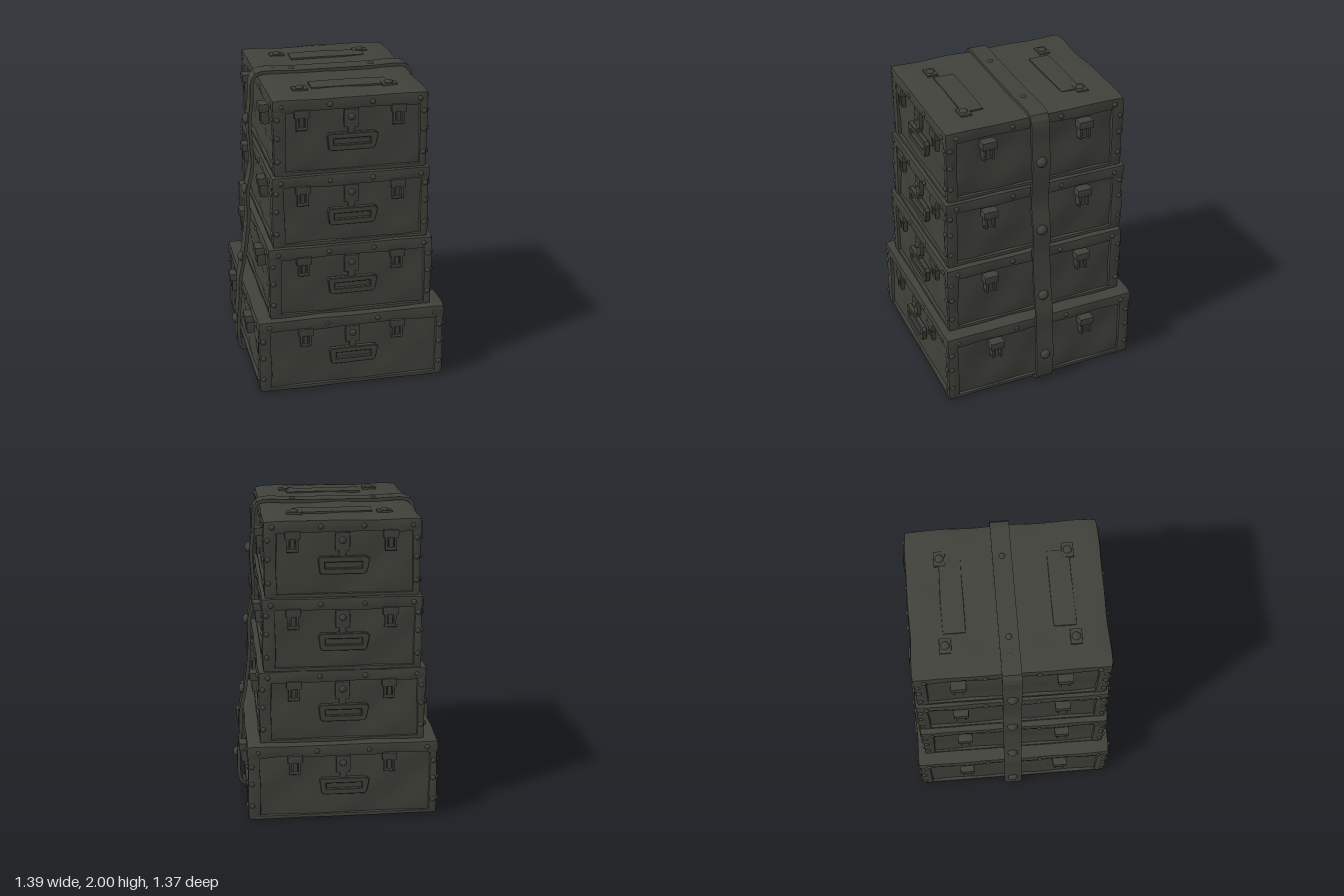
import * as THREE from 'three';

export function createModel() {
  const model = new THREE.Group();
  model.name = 'stackedCases';
  const paint = new THREE.MeshStandardMaterial({ color: 0x41413b });
  paint.name = 'dark olive grey';

  function add(parent, geometry, name, x = 0, y = 0, z = 0) {
    const mesh = new THREE.Mesh(geometry, paint);
    mesh.name = name;
    mesh.position.set(x, y, z);
    parent.add(mesh);
    return mesh;
  }

  // Box with softened edges and a slightly dented surface
  function wornBox(w, h, d, r = 0.015, dent = 0.004, seed = 0) {
    const seg = (s) => Math.max(2, Math.min(24, Math.round(s / 0.045)));
    const g = new THREE.BoxGeometry(w, h, d, seg(w), seg(h), seg(d));
    const p = g.attributes.position;
    const half = new THREE.Vector3(w / 2 - r, h / 2 - r, d / 2 - r);
    const v = new THREE.Vector3(), q = new THREE.Vector3();
    for (let i = 0; i < p.count; i++) {
      v.fromBufferAttribute(p, i);
      q.copy(v).clamp(half.clone().negate(), half);
      const n = v.clone().sub(q).normalize();
      const wave = Math.sin(v.x * 17 + seed) * Math.sin(v.y * 19 + seed * 2 + 1) + Math.sin(v.z * 15 + seed * 3 + v.x * 9 + v.y * 11);
      v.copy(q).addScaledVector(n, r + dent * 0.5 * wave);
      p.setXYZ(i, v.x, v.y, v.z);
    }
    g.computeVertexNormals();
    return g;
  }

  // Domed rivet facing +z
  const dome = (r, height) => {
    const g = new THREE.SphereGeometry(r, 12, 5, 0, Math.PI * 2, 0, Math.PI / 2);
    g.rotateX(Math.PI / 2);
    g.scale(1, 1, height / r);
    return g;
  };
  const rivet = dome(0.017, 0.014);

  // Buckle latch: plate, two side lugs, lever and hinge pin
  function latch(parent, x, y, depth, name) {
    const g = new THREE.Group();
    g.name = name;
    g.position.set(x, y, 0);
    parent.add(g);
    add(g, wornBox(0.1, 0.055, depth, 0.008, 0), 'latchPlate', 0, 0.035, depth / 2);
    for (const s of [-1, 1]) add(g, wornBox(0.018, 0.1, depth * 0.8, 0.005, 0), 'latchLug', s * 0.028, -0.02, depth * 0.4);
    add(g, wornBox(0.03, 0.085, depth * 0.65, 0.005, 0), 'latchLever', 0, -0.012, depth * 0.33);
    const pin = add(g, new THREE.CylinderGeometry(0.012, 0.012, 0.074, 10), 'latchPin', 0, -0.062, depth * 0.4);
    pin.rotation.z = Math.PI / 2;
  }

  // Pull handle hanging from a hasp in the middle of a panel
  function pull(parent, y) {
    const g = new THREE.Group();
    g.name = 'pullHandle';
    g.position.set(0, y, 0);
    parent.add(g);
    add(g, wornBox(0.095, 0.12, 0.03, 0.008, 0), 'haspPlate', 0, 0.145, 0.015);
    add(g, dome(0.022, 0.014), 'haspRivet', 0, 0.155, 0.03);
    add(g, wornBox(0.045, 0.06, 0.03, 0.006, 0), 'haspLink', 0, 0.066, 0.015);
    const outline = new THREE.Shape([[-0.14, -0.045], [-0.125, -0.055], [0.135, -0.055], [0.15, -0.04], [0.165, 0.035], [0.145, 0.05], [-0.14, 0.05], [-0.15, 0.035]].map((a) => new THREE.Vector2(...a)));
    outline.holes.push(new THREE.Path([[-0.115, -0.025], [-0.115, 0.022], [0.125, 0.022], [0.125, -0.025]].map((a) => new THREE.Vector2(...a))));
    add(g, new THREE.ExtrudeGeometry(outline, { depth: 0.025, bevelSize: 0.004, bevelThickness: 0.004, bevelSegments: 1 }), 'handleFrame', 0, 0, 0.008);
    add(g, wornBox(0.25, 0.06, 0.012, 0.004, 0), 'handleBacking', 0.005, 0, 0.008);
  }

  // Cases from bottom to top: half width, half depth, bottom, top, z offset
  const cases = [
    [0.62, 0.67, 0.01, 0.52, 0],
    [0.54, 0.625, 0.515, 1.005, 0.005],
    [0.51, 0.62, 1.0, 1.48, -0.005],
    [0.495, 0.605, 1.475, 1.97, -0.005],
  ];
  cases.forEach(([hx, hz, y0, y1, cz], k) => {
    const box = new THREE.Group();
    box.name = 'case' + (k + 1);
    box.position.set(0, y0, cz);
    model.add(box);
    const h = y1 - y0, lid = 0.085, inset = 0.028;

    add(box, wornBox(2 * (hx - inset), h - 0.04, 2 * (hz - inset), 0.012, 0.008, k), 'body', 0, h / 2 - 0.01, 0);
    add(box, wornBox(2 * hx, lid, 2 * hz, 0.02, 0.007, k + 2), 'lid', 0, h - lid / 2, 0);
    add(box, wornBox(2 * hx - 0.02, 0.025, 2 * hz - 0.02, 0.008, 0.002, k), 'baseRim', 0, 0.0125, 0);

    // Corner posts
    for (const sx of [-1, 1]) for (const sz of [-1, 1]) {
      const wx = sx * sz > 0 ? 0.055 : 0.085, wz = 0.08;
      add(box, wornBox(wx, h - 0.03, wz, 0.018, 0.005, k + sx + 2 * sz), 'cornerPost',
        sx * (hx - wx / 2 - 0.004), h / 2 - 0.015, sz * (hz - wz / 2 - 0.004));
    }

    // Fittings on each of the four faces
    for (let f = 0; f < 4; f++) {
      const side = f % 2 === 1;
      const reach = side ? hx : hz, half = side ? hz : hx;
      const face = new THREE.Group();
      face.name = ['frontFittings', 'leftFittings', 'backFittings', 'rightFittings'][f];
      face.rotation.y = f * Math.PI / 2;
      box.add(face);
      const panel = new THREE.Group();
      panel.name = 'panelFittings';
      panel.position.z = reach - inset;
      face.add(panel);
      if (side) {
        for (const x of [-0.33, 0.32]) latch(panel, x, h - 0.155, 0.07, 'sideLatch');
      } else {
        pull(panel, h - 0.285);
        for (const x of [-0.31, 0.3]) latch(panel, x, h - 0.13, 0.04, 'panelLatch');
      }
      // Rivets on the lid band and the posts
      for (const t of [-0.88, -0.27, 0.27, 0.88]) add(face, rivet, 'lidRivet', t * half, h - lid / 2, reach - 0.003);
      for (const s of [-1, 1]) for (const y of [0.1, 0.25, 0.37]) {
        add(face, rivet, 'postRivet', s * (half - 0.032), y, reach - 0.007);
      }
    }
  });

  // Flat carrying handles on the top lid
  for (const s of [-1, 1]) {
    const g = new THREE.Group();
    g.name = 'topHandle';
    g.position.set(0, 1.968, 0);
    model.add(g);
    add(g, wornBox(0.5, 0.016, 0.14, 0.006, 0.003, s), 'handleStrip', 0.04, 0.004, s * 0.335);
    for (const x of [-0.285, 0.285]) {
      add(g, wornBox(0.1, 0.022, 0.075, 0.006, 0), 'handleMount', x, 0.004, s * 0.395);
      add(g, dome(0.027, 0.016), 'mountRivet', x, 0.014, s * 0.395).rotation.x = -Math.PI / 2;
    }
  }

  // Strap running up one side, over the top and down the other
  const sidePath = [[0.61, 0.012], [0.645, 0.04], [0.655, 0.23], [0.638, 0.42], [0.635, 0.54], [0.605, 0.69], [0.582, 0.85],
    [0.568, 1.0], [0.568, 1.18], [0.535, 1.35], [0.545, 1.65], [0.53, 1.8], [0.522, 1.93], [0.495, 1.975]];
  const right = sidePath.map(([x, y]) => new THREE.Vector3(x, y, 0));
  const left = sidePath.map(([x, y]) => new THREE.Vector3(-x, y, 0)).reverse();
  const top = [0.25, 0, -0.25].map((x) => new THREE.Vector3(x, 1.979, 0));
  const curve = new THREE.CatmullRomCurve3([...right, ...top, ...left], false, 'centripetal');
  const outer = [], inner = [];
  for (let i = 0; i <= 140; i++) {
    const p = curve.getPointAt(i / 140), t = curve.getTangentAt(i / 140);
    outer.push(new THREE.Vector2(p.x + t.y * 0.011, p.y - t.x * 0.011));
    inner.push(new THREE.Vector2(p.x - t.y * 0.011, p.y + t.x * 0.011));
  }
  const ribbon = new THREE.Shape([...outer, ...inner.reverse()]);
  add(model, new THREE.ExtrudeGeometry(ribbon, { depth: 0.12, bevelEnabled: false }), 'strap', 0, 0, -0.07);

  // Strap studs
  for (const s of [-1, 1]) {
    for (const [x, y] of [[0.66, 0.23], [0.612, 0.69], [0.575, 1.18], [0.552, 1.67]]) {
      add(model, dome(0.036, 0.033), 'strapStud', s * x, y, -0.01).rotation.y = s * Math.PI / 2;
    }
  }
  for (const x of [-0.38, -0.26, 0.27]) {
    add(model, dome(0.02, 0.012), 'topStrapStud', x, 1.988, -0.01).rotation.x = -Math.PI / 2;
  }
  return model;
}
